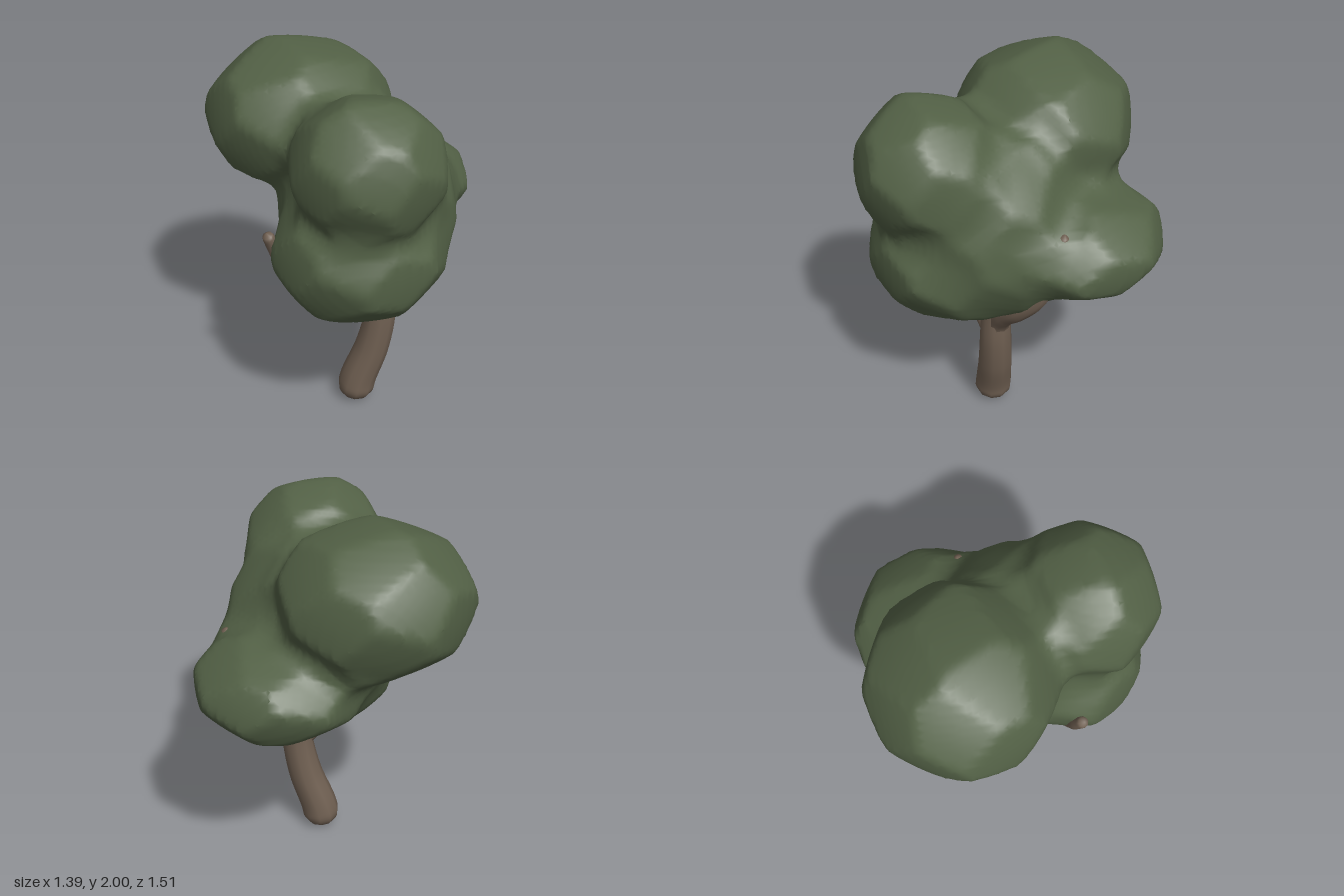
import * as THREE from 'three';
import { mergeVertices } from 'three/addons/utils/BufferGeometryUtils.js';

// Foliage lobes: centre and radii
const LOBES = [
  { c: [-0.21, 1.62, -0.25], r: [0.47, 0.37, 0.45] },  // upper back
  { c: [0.11, 1.61, 0.4], r: [0.37, 0.345, 0.345] },   // upper front
  { c: [0.07, 1.11, 0.33], r: [0.42, 0.34, 0.37] },    // lower front
  { c: [0.25, 1.2, -0.32], r: [0.43, 0.25, 0.43] },    // lower back
  { c: [0.23, 1.27, 0.08], r: [0.33, 0.46, 0.36] },    // core
  { c: [-0.02, 1.18, -0.01], r: [0.29, 0.35, 0.33] },  // underside filler
];

// Evenly spread directions give each lobe its soft facets
const FACETS = Array.from({ length: 24 }, (_, i) => {
  const y = 1 - (2 * i + 1) / 24, s = Math.sqrt(1 - y * y), a = i * 2.39996;
  return [s * Math.cos(a), y, s * Math.sin(a)];
});

function lobeDistance({ c, r }, p, turn) {
  const x = (p[0] - c[0]) / r[0], y = (p[1] - c[1]) / r[1], z = (p[2] - c[2]) / r[2];
  const cs = Math.cos(turn), sn = Math.sin(turn);
  const u = x * cs - z * sn, w = x * sn + z * cs;
  let flat = 0;
  for (const n of FACETS) flat = Math.max(flat, n[0] * u + n[1] * y + n[2] * w);
  const f = 0.35 * Math.hypot(x, y, z) + 0.65 * flat;
  return (f * 1.02 - 1) * Math.min(...r);
}

// Smooth union of all lobes
function foliageDistance(p) {
  const k = 0.13;
  let d = 10;
  LOBES.forEach((lobe, i) => {
    const e = lobeDistance(lobe, p, i * 1.3);
    const h = Math.max(k - Math.abs(d - e), 0) / k;
    d = Math.min(d, e) - h * h * k * 0.25;
  });
  return d;
}

// Mesh a distance function: one vertex per crossed cell, one quad per crossed edge
function surfaceFrom(distance, min, max, step) {
  const n = min.map((m, a) => Math.ceil((max[a] - m) / step) + 1);
  const stride = [1, n[0], n[0] * n[1]];
  const at = (g) => g[0] + g[1] * stride[1] + g[2] * stride[2];
  const point = (g) => g.map((v, a) => min[a] + v * step);
  const each = (fn) => {
    for (let z = 0; z < n[2]; z++)
      for (let y = 0; y < n[1]; y++)
        for (let x = 0; x < n[0]; x++) fn([x, y, z]);
  };
  const field = new Float32Array(n[0] * n[1] * n[2]);
  each((g) => { field[at(g)] = distance(point(g)); });

  const cellVertex = new Map(), positions = [], index = [];
  each((g) => {
    if (g.some((v, a) => v >= n[a] - 1)) return;
    const sum = [0, 0, 0];
    let count = 0;
    for (let corner = 0; corner < 8; corner++) {
      for (let a = 0; a < 3; a++) {
        if (corner & (1 << a)) continue;
        const q = g.map((v, b) => v + ((corner >> b) & 1));
        const d0 = field[at(q)], d1 = field[at(q) + stride[a]];
        if ((d0 < 0) === (d1 < 0)) continue;
        q[a] += d0 / (d0 - d1);
        point(q).forEach((v, b) => { sum[b] += v; });
        count++;
      }
    }
    if (!count) return;
    cellVertex.set(at(g), positions.length / 3);
    positions.push(...sum.map((v) => v / count));
  });
  each((g) => {
    for (let a = 0; a < 3; a++) {
      if (g[a] >= n[a] - 1) continue;
      const i = at(g), inside = field[i] < 0;
      if (inside === (field[i + stride[a]] < 0)) continue;
      const b = stride[(a + 1) % 3], c = stride[(a + 2) % 3];
      const q = [i - b - c, i - c, i, i - b].map((id) => cellVertex.get(id));
      if (!inside) q.reverse();
      index.push(q[0], q[1], q[2], q[0], q[2], q[3]);
    }
  });
  const geometry = new THREE.BufferGeometry();
  geometry.setAttribute('position', new THREE.Float32BufferAttribute(positions, 3));
  geometry.setIndex(index);
  geometry.computeVertexNormals();
  return geometry;
}

// Tapered limb with rounded ends along a curve
function limb(name, points, r0, r1, material) {
  const curve = new THREE.CatmullRomCurve3(points.map((p) => new THREE.Vector3(...p)));
  const length = curve.getLength(), rows = 60, sides = 10;
  let geometry = new THREE.TubeGeometry(curve, rows, 1, sides);
  const pos = geometry.attributes.position, v = new THREE.Vector3();
  for (let i = 0; i < pos.count; i++) {
    const t = Math.floor(i / (sides + 1)) / rows;
    const centre = curve.getPointAt(t);
    const r = THREE.MathUtils.lerp(r0, r1, t);
    const end = Math.max(0, 1 - (Math.min(t, 1 - t) * length) / r);
    v.fromBufferAttribute(pos, i).sub(centre).multiplyScalar(r * Math.sqrt(1 - end * end)).add(centre);
    pos.setXYZ(i, v.x, v.y, v.z);
  }
  geometry.deleteAttribute('uv');
  geometry.deleteAttribute('normal');
  geometry = mergeVertices(geometry, 1e-4);
  geometry.computeVertexNormals();
  const mesh = new THREE.Mesh(geometry, material);
  mesh.name = name;
  return mesh;
}

export function createModel() {
  const bark = new THREE.MeshStandardMaterial({ color: 0x716153 });
  bark.name = 'bark brown';
  const leaf = new THREE.MeshStandardMaterial({ color: 0x536146 });
  leaf.name = 'leaf green';

  const tree = new THREE.Group();
  tree.name = 'tree';

  const foliage = new THREE.Mesh(
    surfaceFrom(foliageDistance, [-0.85, 0.6, -0.9], [0.85, 2.15, 0.9], 0.03), leaf);
  foliage.name = 'foliage';
  tree.add(foliage);

  // Trunk and its two branches, whose tips poke out of the leaves
  tree.add(limb('trunk', [
    [0.065, 0, 0.08], [0.085, 0.13, 0.08], [0.16, 0.35, 0.085],
    [0.2, 0.55, 0.09], [0.21, 0.72, 0.09], [0.22, 0.95, 0.09],
  ], 0.106, 0.072, bark));
  tree.add(limb('rightwardBranch', [
    [0.2, 0.56, 0.09], [0.235, 0.68, 0.08], [0.31, 0.78, 0.06], [0.41, 0.88, 0.01],
    [0.49, 1.01, -0.07], [0.52, 1.2, -0.14], [0.525, 1.41, -0.18],
  ], 0.068, 0.026, bark));
  tree.add(limb('leftwardBranch', [
    [0.2, 0.56, 0.09], [0.11, 0.645, 0.13], [-0.05, 0.74, 0.19], [-0.2, 0.86, 0.25],
    [-0.31, 1.02, 0.29], [-0.35, 1.12, 0.3], [-0.385, 1.225, 0.33],
  ], 0.062, 0.03, bark));

  return tree;
}
